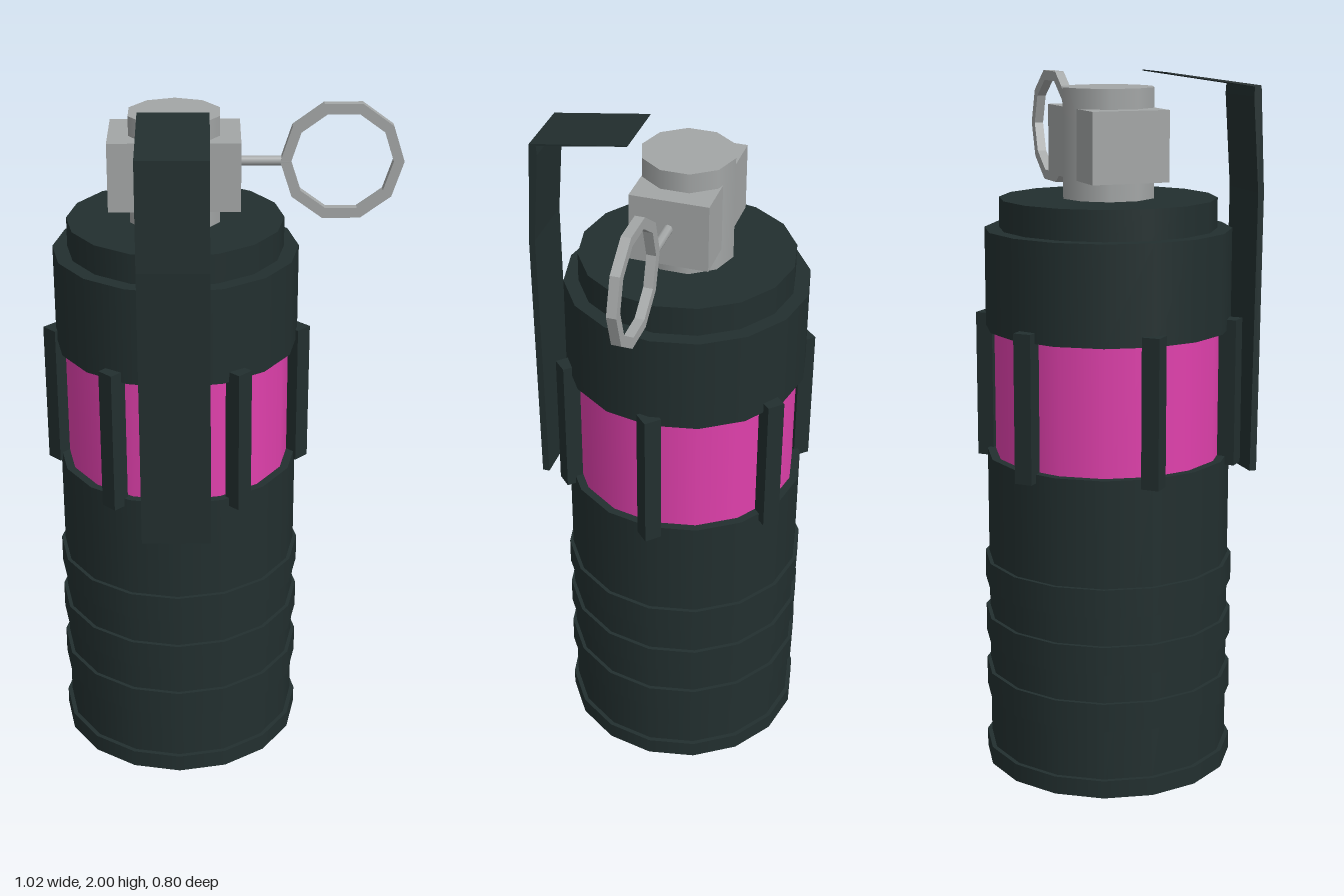
import * as THREE from 'three';

export function createModel() {
  const group = new THREE.Group();
  const mat = (name, color, extra = {}) => {
    const m = new THREE.MeshStandardMaterial({ color, ...extra });
    m.name = name;
    return m;
  };
  const dark = mat('dark green grey', 0x222f2f);
  const metal = mat('bare metal', 0xa3a6a6);
  const pink = mat('pink', 0xe040ac);

  // Axis of the round body
  const CX = -0.127, CZ = -0.036;

  const add = (name, geometry, material, x = 0, y = 0, z = 0) => {
    const mesh = new THREE.Mesh(geometry, material);
    mesh.name = name;
    mesh.position.set(x, y, z);
    group.add(mesh);
    return mesh;
  };
  // Upright cylinder on the body axis, given bottom and top heights
  const drum = (name, r, y0, y1, material, sides = 16, open = false) =>
    add(name, new THREE.CylinderGeometry(r, r, y1 - y0, sides, 1, open), material, CX, (y0 + y1) / 2, CZ);

  // Casing, raised ribs and recessed colour band
  drum('lowerCasing', 0.349, 0.02, 0.925, dark);
  drum('baseRim', 0.362, 0, 0.052, dark);
  for (const y of [0.2, 0.368, 0.535]) drum('gripRib', 0.36, y, y + 0.082, dark);
  drum('colourBand', 0.325, 0.925, 1.29, pink, 16, true);
  drum('upperCasing', 0.349, 1.29, 1.57, dark);
  drum('shoulder', 0.307, 1.57, 1.655, dark);

  // Six diamond-section posts around the band
  const postGeo = new THREE.CylinderGeometry(0.036, 0.036, 0.42, 4).toNonIndexed();
  postGeo.computeVertexNormals();
  for (let i = 0; i < 6; i++) {
    const a = (i * Math.PI) / 3;
    add('bandPost', postGeo, dark, CX + 0.35 * Math.cos(a), 1.11, CZ + 0.35 * Math.sin(a));
  }

  // Fuse head
  drum('fuseColumn', 0.132, 1.65, 1.96, metal, 10);
  add('fuseBlock', new THREE.BoxGeometry(0.365, 0.195, 0.223), metal, CX, 1.807, CZ - 0.002);

  // Pin and its ten-sided pull ring
  const pin = add('pin', new THREE.CylinderGeometry(0.014, 0.014, 0.16, 8), metal, 0.11, 1.82, CZ);
  pin.rotation.z = Math.PI / 2;
  const polygon = (r) => Array.from({ length: 10 }, (_, i) =>
    new THREE.Vector2(r * Math.cos(i * Math.PI / 5), r * Math.sin(i * Math.PI / 5)));
  const ringShape = new THREE.Shape(polygon(0.172));
  ringShape.holes.push(new THREE.Path(polygon(0.142)));
  const ringGeo = new THREE.ExtrudeGeometry(ringShape, { depth: 0.027, bevelEnabled: false });
  add('pullRing', ringGeo, metal, 0.337, 1.82, CZ - 0.0135);

  // Safety lever: side profile (z, y) extruded across its width
  const leverShape = new THREE.Shape([
    [0.105, 2.0], [0.105, 1.997], [0.366, 1.957], [0.364, 1.93], [0.382, 1.66], [0.372, 0.845],
    [0.393, 0.845], [0.4, 1.66], [0.386, 1.96],
  ].map(([z, y]) => new THREE.Vector2(-z, y)));
  const leverGeo = new THREE.ExtrudeGeometry(leverShape, { depth: 0.194, bevelEnabled: false });
  leverGeo.rotateY(Math.PI / 2);
  add('safetyLever', leverGeo, dark, CX - 0.097, 0, 0);

  return group;
}
